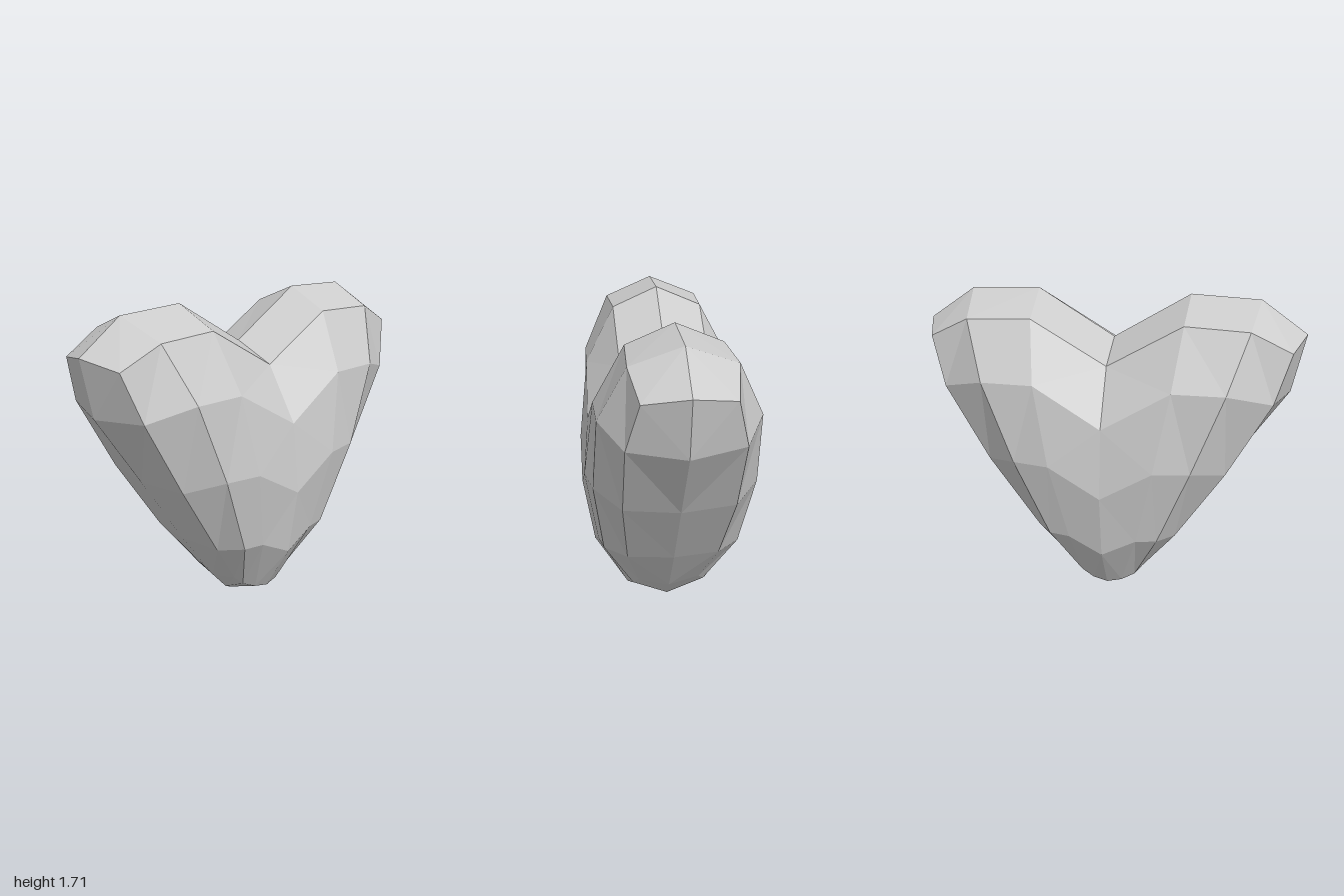
import * as THREE from 'three';

// One quarter of the heart: rows from the top rim to the tip,
// each running from the outer rim to the middle as [z, y, x].
const ROWS = [
  [[1, 1.52, 0], [1, 1.52, 0], [0.76, 1.69, 0], [0.4, 1.705, 0], [0, 1.46, 0]],
  [[1, 1.52, 0], [0.93, 1.48, 0.22], [0.72, 1.59, 0.26], [0.39, 1.6, 0.245], [0, 1.37, 0.24]],
  [[0.935, 1.21, 0], [0.85, 1.23, 0.285], [0.62, 1.3, 0.4], [0.35, 1.3, 0.405], [0, 1.09, 0.42]],
  [[0.67, 0.82, 0], [0.63, 0.83, 0.285], [0.46, 0.88, 0.42], [0.27, 0.88, 0.455], [0, 0.72, 0.46]],
  [[0.41, 0.43, 0], [0.375, 0.43, 0.245], [0.29, 0.45, 0.365], [0.18, 0.45, 0.388], [0, 0.36, 0.4]],
  [[0.2, 0.14, 0], [0.19, 0.18, 0.17], [0.15, 0.14, 0.2], [0.08, 0.11, 0.225], [0, 0.095, 0.235]],
  [[0.1, 0.03, 0], [0.1, 0.03, 0], [0.07, 0.015, 0], [0.04, 0.005, 0], [0, 0, 0]],
];

function heartGeometry() {
  const positions = [];
  const tri = (p, q, r, sx, sz) => {
    const corners = [p, q, r].map(([z, y, x]) => new THREE.Vector3(x * sx, y, z * sz));
    if (new THREE.Triangle(...corners).getArea() < 1e-6) return; // collapsed corner
    if (sx * sz < 0) corners.reverse();
    corners.forEach((v) => positions.push(v.x, v.y, v.z));
  };
  // Mirror the quarter across both middle planes
  for (const sx of [1, -1]) {
    for (const sz of [1, -1]) {
      for (let i = 0; i < ROWS.length - 1; i++) {
        for (let j = 0; j < ROWS[i].length - 1; j++) {
          const a = ROWS[i][j], b = ROWS[i][j + 1];
          const c = ROWS[i + 1][j], d = ROWS[i + 1][j + 1];
          tri(a, c, b, sx, sz);
          tri(b, c, d, sx, sz);
        }
      }
    }
  }
  const geometry = new THREE.BufferGeometry();
  geometry.setAttribute('position', new THREE.Float32BufferAttribute(positions, 3));
  geometry.computeVertexNormals();
  return geometry;
}

export function createModel() {
  const group = new THREE.Group();
  group.name = 'lowPolyHeart';
  const material = new THREE.MeshStandardMaterial({ color: 0xcccccc, flatShading: true });
  const heart = new THREE.Mesh(heartGeometry(), material);
  heart.name = 'heart';
  group.add(heart);
  return group;
}
